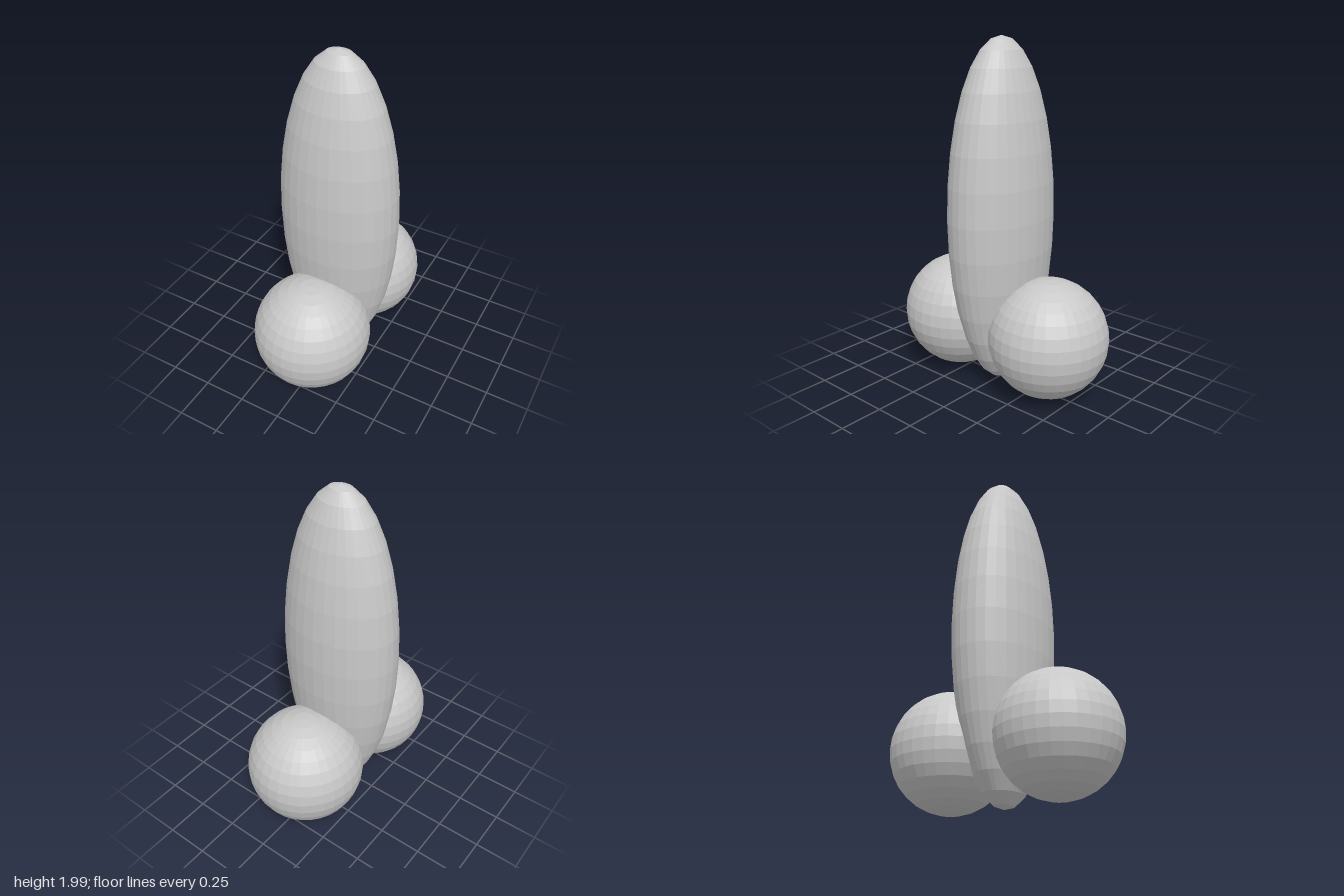
import * as THREE from 'three';

export function createModel() {
  const group = new THREE.Group();
  const grey = new THREE.MeshStandardMaterial({ color: 0xc8c8c8 });
  grey.name = 'lightGrey';
  grey.flatShading = true;

  // faceted ellipsoid with 32 sides and 16 rings
  const addEllipsoid = (name, radii, position) => {
    const geometry = new THREE.SphereGeometry(1, 32, 16).scale(...radii);
    const mesh = new THREE.Mesh(geometry, grey);
    mesh.name = name;
    mesh.position.set(...position);
    group.add(mesh);
  };

  // tall upright body, wider than it is deep
  addEllipsoid('tallBody', [0.354, 0.995, 0.257], [0, 1.005, 0.008]);

  // one ball in front and one behind the foot of the body
  addEllipsoid('frontBall', [0.34, 0.34, 0.34], [0, 0.357, 0.336]);
  addEllipsoid('backBall', [0.34, 0.34, 0.34], [0, 0.357, -0.338]);

  return group;
}
